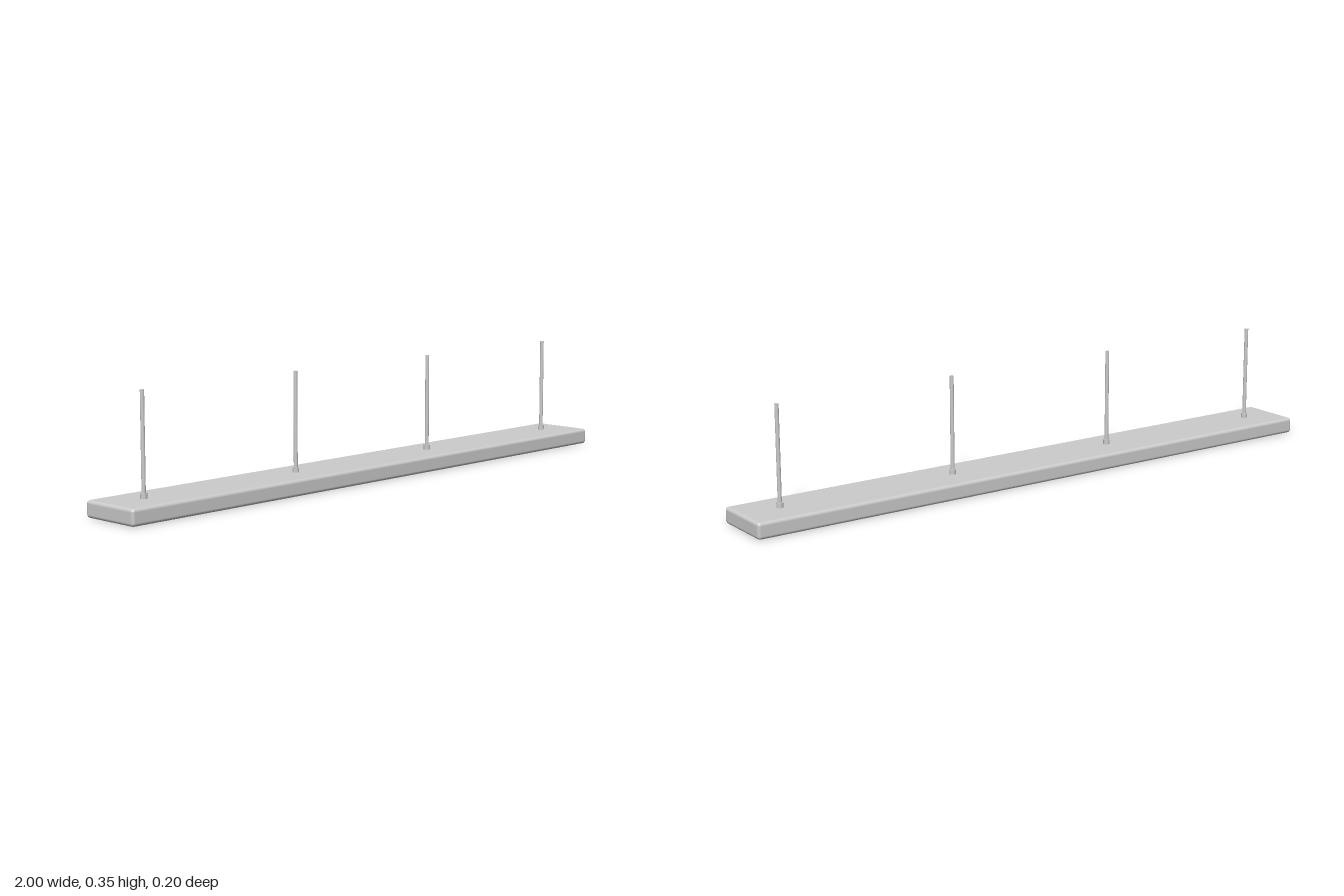
import * as THREE from 'three';
import { RoundedBoxGeometry } from 'three/addons/geometries/RoundedBoxGeometry.js';

export function createModel() {
  const model = new THREE.Group();
  model.name = 'suspendedBeam';
  const material = new THREE.MeshStandardMaterial({ color: 0xcccccc });

  function add(name, geometry, x, y) {
    const mesh = new THREE.Mesh(geometry, material);
    mesh.name = name;
    mesh.position.set(x, y, 0);
    model.add(mesh);
  }

  // Long flat beam with softened edges
  const beamHeight = 0.05;
  add('beam', new RoundedBoxGeometry(2, beamHeight, 0.2, 4, 0.01), 0, beamHeight / 2);

  // Four evenly spaced hanging rods, each seated in a small collar
  const collarHeight = 0.015;
  const rodTop = 0.352;
  const rodHeight = rodTop - beamHeight;
  const collar = new THREE.CylinderGeometry(0.01, 0.01, collarHeight, 24);
  const rod = new THREE.CylinderGeometry(0.006, 0.006, rodHeight, 24);
  for (let i = 0; i < 4; i++) {
    const x = -0.877 + i * 0.5847;
    add('collar', collar, x, beamHeight + collarHeight / 2);
    add('hangingRod', rod, x, beamHeight + rodHeight / 2);
  }

  return model;
}
